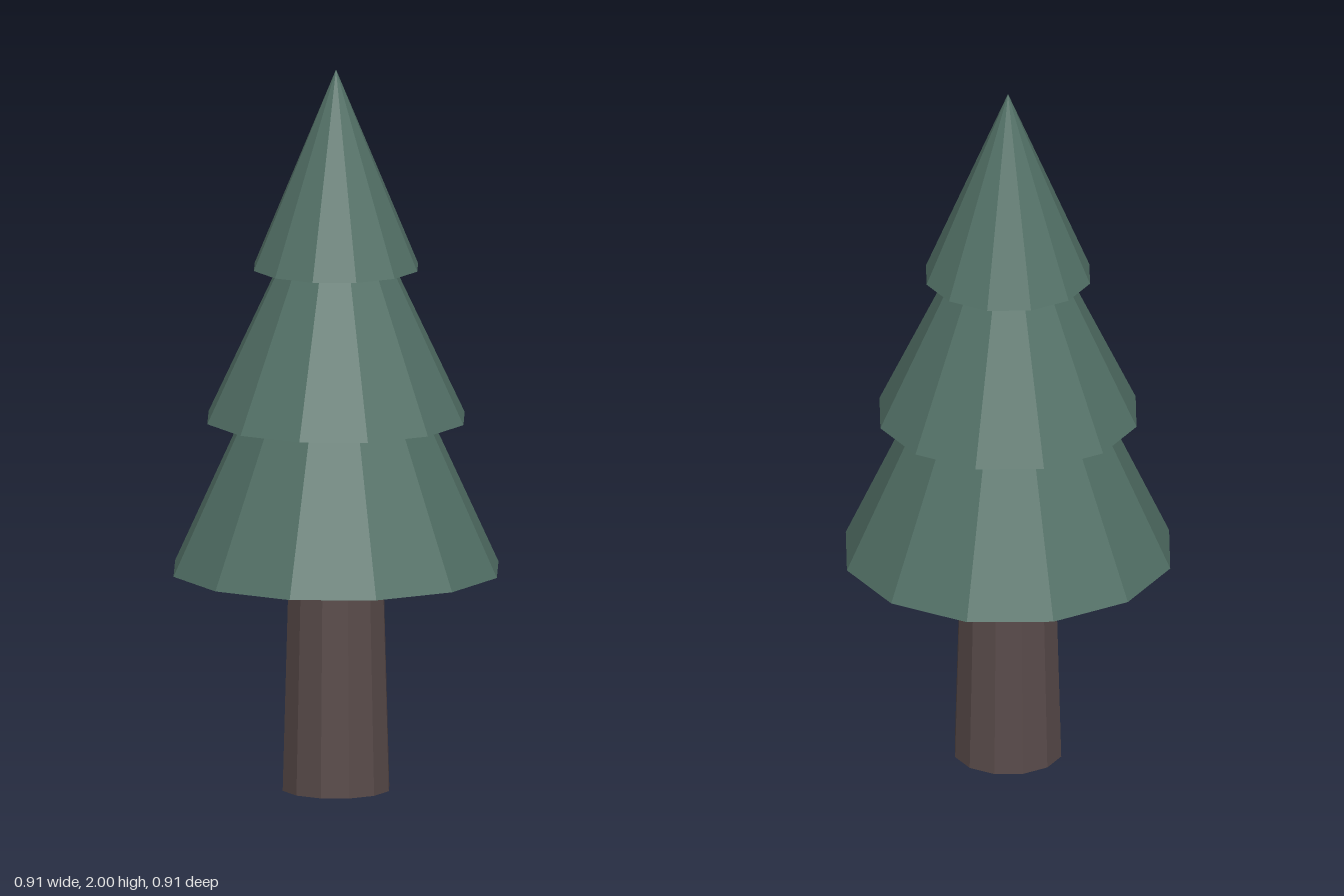
import * as THREE from 'three';

const SIDES = 12;

export function createModel() {
  const tree = new THREE.Group();
  tree.name = 'pineTree';

  const foliage = new THREE.MeshStandardMaterial({ color: 0x527066, flatShading: true });
  foliage.name = 'foliageGreen';
  const bark = new THREE.MeshStandardMaterial({ color: 0x594b4a, flatShading: true });
  bark.name = 'barkBrown';

  // Tapered trunk, ending just inside the lowest tier
  const trunkHeight = 0.65;
  const trunk = new THREE.Mesh(new THREE.CylinderGeometry(0.132, 0.15, trunkHeight, SIDES), bark);
  trunk.name = 'trunk';
  trunk.position.y = trunkHeight / 2;
  tree.add(trunk);

  // Overlapping foliage cones, from bottom to top
  const tiers = [
    { name: 'lowerFoliage', radius: 0.457, base: 0.61, tip: 1.6 },
    { name: 'middleFoliage', radius: 0.362, base: 1.03, tip: 1.79 },
    { name: 'topFoliage', radius: 0.231, base: 1.45, tip: 2.0 },
  ];
  for (const { name, radius, base, tip } of tiers) {
    const cone = new THREE.Mesh(new THREE.ConeGeometry(radius, tip - base, SIDES), foliage);
    cone.name = name;
    cone.position.y = (base + tip) / 2;
    tree.add(cone);
  }

  return tree;
}
